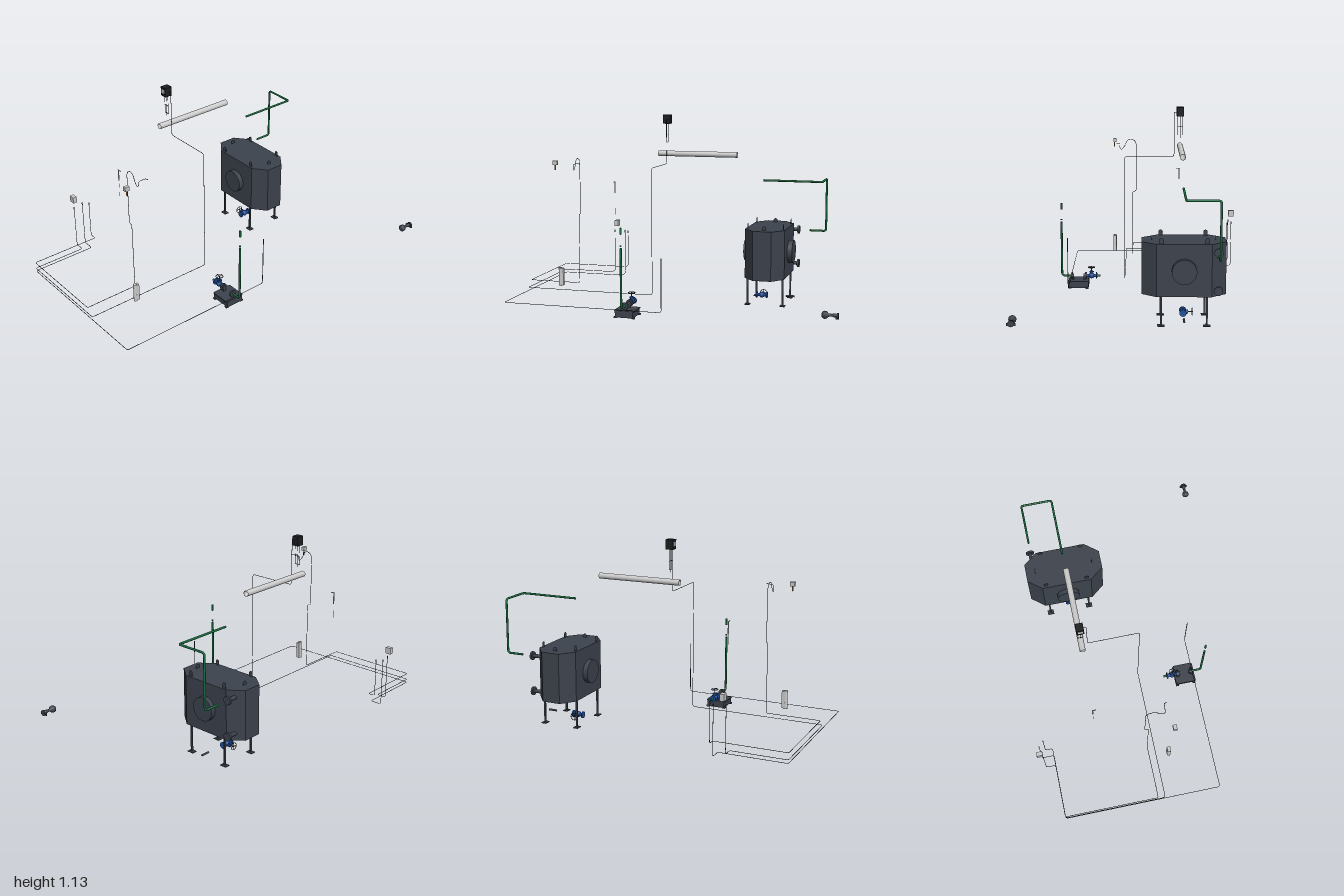
import * as THREE from 'three';
import { mergeGeometries } from 'three/addons/utils/BufferGeometryUtils.js';

const material = (color, flat = false) =>
  new THREE.MeshStandardMaterial({ color, flatShading: flat, side: THREE.DoubleSide });
const dark = material(0x3d434d), darkFlat = material(0x3d434d, true), black = material(0x1c1d20);
const blue = material(0x1f4f9c), green = material(0x176b3f), grey = material(0xcccccc);
const brass = material(0xb58a3a);
const V = (p) => new THREE.Vector3(...p);
const V2 = (p) => new THREE.Vector2(...p);

export function createModel() {
  const model = new THREE.Group();

  const add = (name, geometry, mat, pos = [0, 0, 0], parent = model) => {
    const mesh = new THREE.Mesh(geometry, mat);
    mesh.name = name;
    mesh.position.set(...pos);
    parent.add(mesh);
    return mesh;
  };
  const box = (name, size, pos, mat, parent) => add(name, new THREE.BoxGeometry(...size), mat, pos, parent);

  // Cylinder between two points
  const rod = (name, a, b, r, mat, parent = model, sides = 24) => {
    const from = V(a), to = V(b), dir = to.clone().sub(from);
    const mesh = add(name, new THREE.CylinderGeometry(r, r, dir.length(), sides), mat, [0, 0, 0], parent);
    mesh.position.copy(from).add(to).multiplyScalar(0.5);
    mesh.quaternion.setFromUnitVectors(new THREE.Vector3(0, 1, 0), dir.normalize());
    return mesh;
  };

  // Tube along straight runs joined by rounded bends
  const pipe = (name, points, r, bend, mat, sides = 8) => {
    const p = points.map(V), parts = [];
    let start = p[0];
    for (let i = 1; i < p.length; i++) {
      if (i === p.length - 1) {
        parts.push(new THREE.TubeGeometry(new THREE.LineCurve3(start, p[i]), 1, r, sides));
        break;
      }
      const inDir = p[i - 1].clone().sub(p[i]), outDir = p[i + 1].clone().sub(p[i]);
      const d = Math.min(bend, inDir.length() * 0.45, outDir.length() * 0.45);
      const a = p[i].clone().addScaledVector(inDir.normalize(), d);
      const b = p[i].clone().addScaledVector(outDir.normalize(), d);
      parts.push(new THREE.TubeGeometry(new THREE.LineCurve3(start, a), 1, r, sides));
      parts.push(new THREE.TubeGeometry(new THREE.QuadraticBezierCurve3(a, p[i], b), 8, r, sides));
      start = b;
    }
    return add(name, mergeGeometries(parts), mat);
  };

  // Flanged valve: flow along local x, handwheel on local +y
  const valve = (name, pos, flow, up) => {
    const g = new THREE.Group();
    g.name = name;
    add('valveBody', new THREE.SphereGeometry(0.018, 20, 14), blue, [0, 0, 0], g);
    rod('valvePipe', [-0.033, 0, 0], [0.033, 0, 0], 0.01, blue, g);
    for (const s of [-1, 1]) rod('valveFlange', [s * 0.028, 0, 0], [s * 0.035, 0, 0], 0.02, blue, g);
    rod('bonnet', [0, 0, 0], [0, 0.03, 0], 0.009, blue, g);
    rod('bonnetFlange', [0, 0.021, 0], [0, 0.027, 0], 0.014, blue, g);
    rod('stem', [0, 0.03, 0], [0, 0.057, 0], 0.003, dark, g, 8);
    add('handwheel', new THREE.TorusGeometry(0.021, 0.002, 8, 28), dark, [0, 0.053, 0], g).rotation.x = Math.PI / 2;
    for (const size of [[0.04, 0.002, 0.003], [0.003, 0.002, 0.04]]) box('spoke', size, [0, 0.053, 0], dark, g);
    const x = V(flow), y = V(up);
    g.quaternion.setFromRotationMatrix(new THREE.Matrix4().makeBasis(x, y, x.clone().cross(y)));
    g.position.set(...pos);
    model.add(g);
  };

  // Tank: eight-sided upright prism
  const tx = -0.275, tz = -0.451;
  const outline = new THREE.Shape([[0.233, 0.055], [0.151, 0.12], [-0.151, 0.12], [-0.233, 0.055],
    [-0.233, -0.055], [-0.151, -0.12], [0.151, -0.12], [0.233, -0.055]].map(V2));
  const tankGeo = new THREE.ExtrudeGeometry(outline, { depth: 0.296, bevelEnabled: false });
  tankGeo.rotateX(-Math.PI / 2);
  add('tank', tankGeo, darkFlat, [tx, 0.168, tz]);

  // Round manholes, front and back
  for (const s of [1, -1])
    rod('manhole', [tx, 0.314, tz + s * 0.115], [tx, 0.314, tz + s * 0.149], 0.069, dark, model, 40);

  // Legs, foot plates and lifting lugs
  const lug = new THREE.Shape();
  lug.moveTo(-0.012, 0).lineTo(-0.012, 0.023).absarc(0, 0.023, 0.012, Math.PI, 0, true).lineTo(0.012, 0);
  const lugGeo = new THREE.ExtrudeGeometry(lug, { depth: 0.002, bevelEnabled: false, curveSegments: 12 });
  lugGeo.translate(0, 0, -0.001);
  for (const sx of [-1, 1]) {
    for (const sz of [-1, 1]) {
      const x = tx + sx * 0.126, z = tz + sz * 0.107;
      box('leg', [0.01, 0.17, 0.01], [x, 0.088, z], dark);
      box('footPlate', [0.04, 0.005, 0.03], [x, 0.0025, z], dark);
      add('liftingLug', lugGeo, dark, [x, 0.461, z]);
    }
    add('endLug', lugGeo, dark, [tx + sx * 0.176, 0.452, tz]).rotation.y = Math.PI / 2;
  }

  // Tank nozzles on the back and underneath
  for (const y of [0.422, 0.209]) {
    rod('nozzle', [-0.46, y, -0.52], [-0.46, y, -0.595], 0.011, dark);
    rod('nozzleFlange', [-0.46, y, -0.59], [-0.46, y, -0.602], 0.025, dark);
  }
  rod('drainNipple', [tx, 0.15, tz], [tx, 0.17, tz], 0.005, dark);
  valve('drainValve', [tx, 0.036, -0.405], [0, 0, 1], [-1, 0, 0]);
  rod('drainPipe', [tx, 0.038, -0.555], [tx, 0.038, -0.607], 0.006, dark);

  // Green fill pipe over the tank
  pipe('fillPipe', [[-0.457, 0.42, -0.665], [-0.457, 0.42, -0.766], [-0.457, 0.742, -0.766],
    [-0.274, 0.742, -0.766], [-0.274, 0.742, -0.41]], 0.0063, 0.016, green, 14);

  // Thin-walled open vent duct
  const wall = [[0.0155, -0.25], [0.017, -0.25], [0.017, 0.25], [0.0155, 0.25], [0.0155, -0.25]].map(V2);
  add('ventDuct', new THREE.LatheGeometry(wall, 36), grey, [-0.275, 0.891, 0.004]).rotation.x = Math.PI / 2;

  // Level controller with electrode rods
  box('controllerCase', [0.042, 0.055, 0.046], [-0.274, 1.102, 0.198], black);
  box('controllerScreen', [0.026, 0.024, 0.002], [-0.274, 1.105, 0.2215], grey);
  for (const dx of [-0.015, 0, 0.015])
    rod('electrode', [-0.275 + dx, 1.08, 0.198], [-0.275 + dx, dx ? 0.96 : 0.943, 0.198], 0.0012, dark, model, 8);
  for (const y of [1.01, 0.961]) box('electrodeSpacer', [0.034, 0.002, 0.004], [-0.275, y, 0.198], dark);

  // Cables
  const r = 0.0015, zf = 0.998, xl = -0.553;
  pipe('controllerCable', [[-0.255, 1.099, 0.193], [-0.238, 1.099, 0.193], [-0.238, 0.83, 0.193],
    [0.061, 0.83, 0.193], [0.061, 0.068, 0.193], [0.061, 0.068, zf], [xl, 0.068, zf], [xl, 0.068, 0.67],
    [-0.611, 0.068, 0.67], [-0.611, 0.34, 0.67]], r, 0.016, black);
  pipe('pumpCable', [[0.402, 0.36, 0.03], [0.402, 0.048, 0.03], [0.402, 0.048, zf], [xl, 0.048, zf],
    [xl, 0.048, 0.603], [-0.625, 0.048, 0.603], [-0.625, 0.34, 0.603]], r, 0.016, black);
  pipe('sensorCable', [[-0.007, 0.84, 0.673], [-0.007, 0.532, 0.673], [0.016, 0.526, 0.673],
    [0.016, 0.107, 0.673], [0.016, 0.107, zf], [xl, 0.107, zf], [xl, 0.107, 0.573],
    [-0.597, 0.107, 0.573], [-0.597, 0.34, 0.573]], r, 0.013, black);
  const loop = new THREE.CatmullRomCurve3([[-0.007, 0.84, 0.673], [0.003, 0.862, 0.673], [0.028, 0.874, 0.673],
    [0.053, 0.862, 0.673], [0.066, 0.833, 0.673], [0.09, 0.807, 0.673], [0.1, 0.82, 0.673],
    [0.102, 0.843, 0.668], [0.104, 0.848, 0.645], [0.107, 0.848, 0.628], [0.12, 0.848, 0.625]].map(V));
  add('sensorCableLoop', new THREE.TubeGeometry(loop, 60, r, 8), black);
  for (const [x, z] of [[-0.611, 0.67], [-0.625, 0.603], [-0.597, 0.573]])
    rod('cableEnd', [x, 0.325, z], [x, 0.342, z], 0.003, dark, model, 10);
  rod('pumpCableSleeve', [0.402, 0.075, 0.03], [0.402, 0.36, 0.03], 0.0023, dark, model, 10);

  // Wall junction box, float unit, sensor and probe
  box('junctionBox', [0.036, 0.038, 0.025], [-0.629, 0.386, 0.659], grey);
  rod('floatBody', [0.134, 0.109, 0.751], [0.134, 0.221, 0.751], 0.0105, grey);
  box('floatMount', [0.021, 0.104, 0.02], [0.134, 0.165, 0.739], grey);
  box('sensorHead', [0.021, 0.025, 0.028], [0.133, 0.854, 0.773], grey);
  rod('sensorTip', [0.136, 0.812, 0.773], [0.136, 0.842, 0.773], 0.004, brass);
  rod('probeBody', [-0.283, 0.632, 0.548], [-0.283, 0.703, 0.548], 0.0035, grey);
  rod('probeArm', [-0.287, 0.702, 0.548], [-0.263, 0.702, 0.548], 0.003, grey);
  rod('probeRod', [-0.283, 0.495, 0.548], [-0.283, 0.635, 0.548], 0.0007, grey, model, 6);

  // Pump unit with flanged ports
  const px = 0.349, pz = 0.25;
  box('pumpBase', [0.125, 0.04, 0.108], [px, 0.026, pz], dark);
  box('pumpTopPlate', [0.114, 0.006, 0.122], [px, 0.044, pz], dark);
  for (const sx of [-1, 1]) for (const sz of [-1, 1])
    box('pumpFoot', [0.018, 0.008, 0.018], [px + sx * 0.053, 0.006, pz + sz * 0.053], dark);
  for (const s of [-1, 1]) {
    rod('portFlange', [px + s * 0.038, 0.071, pz], [px + s * 0.047, 0.071, pz], 0.021, dark);
    rod('port', [px + s * 0.03, 0.071, pz], [px + s * 0.045, 0.071, pz], 0.012, dark);
    box('portBracket', [0.012, 0.03, 0.018], [px + s * 0.036, 0.057, pz], dark);
  }
  valve('inletValve', [0.27, 0.071, pz], [1, 0, 0], [0, 1, 0]);
  rod('inletPipe', [0.215, 0.071, pz], [0.245, 0.071, pz], 0.007, green);
  pipe('outletPipe', [[0.393, 0.071, pz], [0.453, 0.071, pz], [0.453, 0.415, pz]], 0.0065, 0.02, green, 14);
  rod('outletRing', [0.453, 0.425, pz], [0.453, 0.431, pz], 0.006, green);
  rod('outletPiece', [0.453, 0.493, pz], [0.453, 0.531, pz], 0.0062, green);

  // Separate fitting behind: domed cap, neck, ball and clamp
  const fx = 0.622, fy = 0.152;
  const cap = [[0, 0], [0.012, 0.002], [0.019, 0.008], [0.021, 0.016], [0.019, 0.028], [0.009, 0.036],
    [0.007, 0.055], [0.011, 0.064], [0.011, 0.074], [0.007, 0.08], [0.007, 0.088], [0, 0.088]].map(V2);
  add('fitting', new THREE.LatheGeometry(cap, 28), dark, [fx, fy, -0.91]).rotation.x = -Math.PI / 2;
  rod('fittingFlange', [fx, fy - 0.003, -0.991], [fx, fy - 0.003, -0.999], 0.017, dark);
  box('fittingClamp', [0.046, 0.014, 0.008], [fx, fy - 0.008, -0.99], dark);
  return model;
}
